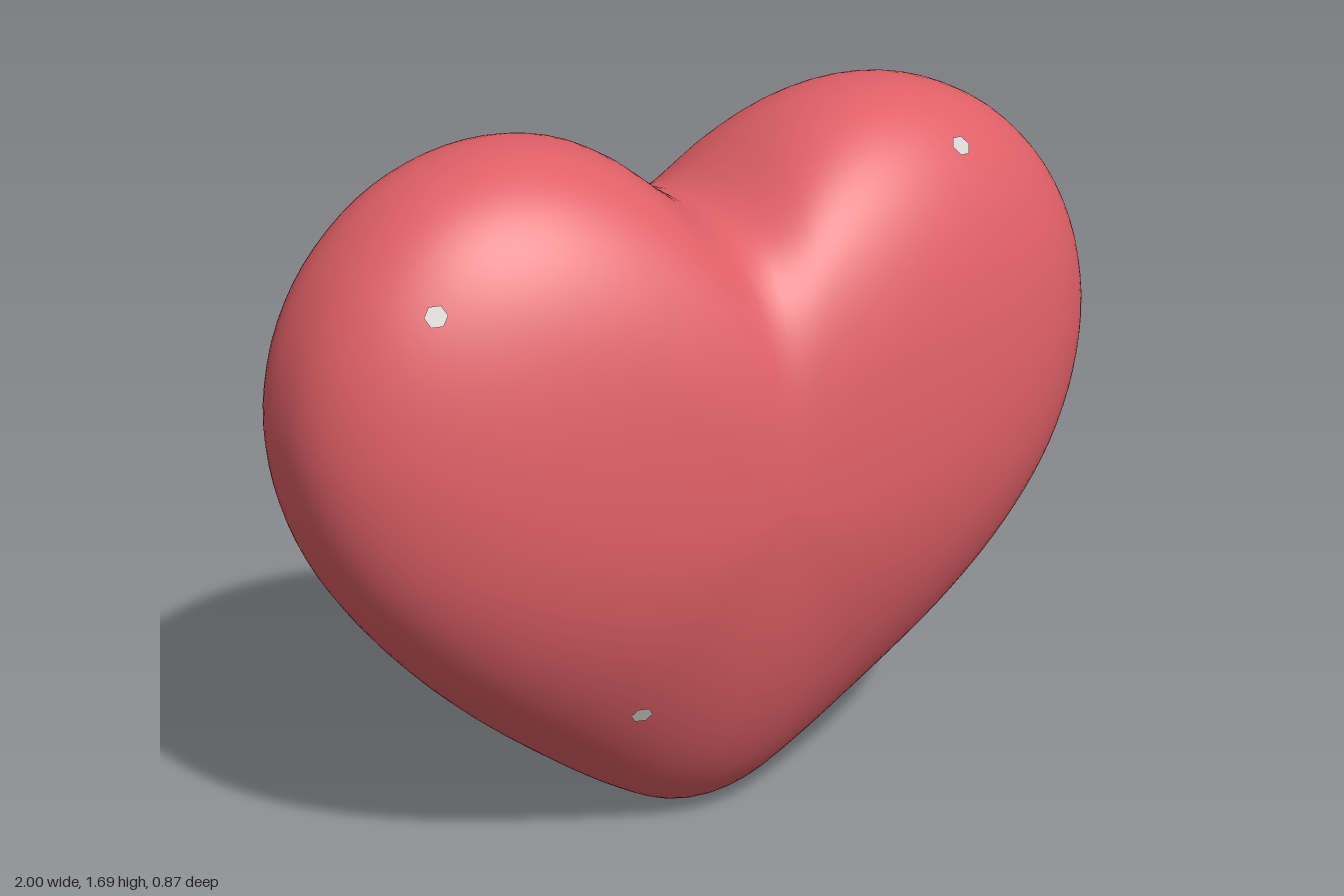
import * as THREE from 'three';

const DEPTH = 0.436, CENTRE_Y = 0.92, AROUND = 128, RINGS = 64;

// right half of the heart outline, from the notch down to the tip
const HALF = [
  [0, 1.485], [0.05, 1.5], [0.12, 1.55], [0.2, 1.613], [0.31, 1.667], [0.45, 1.69], [0.6, 1.67],
  [0.75, 1.6], [0.88, 1.475], [0.96, 1.33], [0.995, 1.18], [0.996, 1.06], [0.97, 0.92], [0.91, 0.77],
  [0.79, 0.59], [0.61, 0.395], [0.4, 0.215], [0.23, 0.09], [0.1, 0.018], [0, 0],
];

function outline() {
  const mirrored = HALF.slice(1, -1).reverse().map(([x, y]) => [-x, y]);
  const points = [...HALF, ...mirrored].map(([x, y]) => new THREE.Vector3(x, y - CENTRE_Y, 0));
  return new THREE.CatmullRomCurve3(points, true).getSpacedPoints(AROUND).slice(0, AROUND);
}

// Rings shrink from the outline towards a front and a back pole along rounded profiles
function heartGeometry() {
  const rim = outline();
  const positions = [0, CENTRE_Y, DEPTH];
  const index = [];
  for (let r = 1; r < RINGS; r++) {
    const a = (r / RINGS) * Math.PI;
    const c = Math.cos(a), s = Math.sin(a);
    for (const p of rim) {
      const dy = p.y / p.length();
      // fuller at the sides, more pointed at the tip
      const power = 2.5 - (dy < 0 ? 0.8 : 0.4) * dy * dy;
      const t = Math.pow(s, 2 / power);
      const z = Math.sign(c) * DEPTH * Math.pow(Math.abs(c), 2 / power);
      // the notch fades out towards the middle of each face
      const fill = p.y > 0 ? 0.14 * Math.exp(-((p.x / 0.22) ** 2)) * (1 - t * t) : 0;
      positions.push(p.x * t, CENTRE_Y + (p.y + fill) * t, Math.abs(c) < 1e-9 ? 0 : z);
    }
  }
  const last = positions.length / 3;
  positions.push(0, CENTRE_Y, -DEPTH);
  const at = (r, i) => 1 + r * AROUND + (i % AROUND);
  for (let i = 0; i < AROUND; i++) {
    index.push(0, at(0, i + 1), at(0, i));
    for (let r = 0; r < RINGS - 2; r++) {
      const a = at(r, i), b = at(r, i + 1), c = at(r + 1, i), d = at(r + 1, i + 1);
      index.push(a, b, c, b, d, c);
    }
    index.push(last, at(RINGS - 2, i), at(RINGS - 2, i + 1));
  }
  const geometry = new THREE.BufferGeometry();
  geometry.setAttribute('position', new THREE.Float32BufferAttribute(positions, 3));
  geometry.setIndex(index);
  geometry.computeVertexNormals();
  return geometry;
}

export function createModel() {
  const red = new THREE.MeshStandardMaterial({ color: 0xe06067 });
  red.name = 'heart red';
  const pale = new THREE.MeshStandardMaterial({ color: 0xd8d0d0 });
  pale.name = 'speck pale grey';

  const model = new THREE.Group();
  model.name = 'puffyHeart';
  const heart = new THREE.Mesh(heartGeometry(), red);
  heart.name = 'heartBody';
  model.add(heart);
  heart.updateMatrixWorld(true);

  // Small pale specks lying on the surface, repeated half a turn round on the back
  const ray = new THREE.Raycaster();
  const speckShape = new THREE.CircleGeometry(0.025, 6);
  for (const [x, y] of [[-0.745, 1.437], [0.555, 1.578], [-0.297, 0.423]]) {
    for (const side of [1, -1]) {
      ray.set(new THREE.Vector3(x * side, y, 2 * side), new THREE.Vector3(0, 0, -side));
      const hit = ray.intersectObject(heart)[0];
      if (!hit) continue;
      const normal = hit.face.normal;
      const speck = new THREE.Mesh(speckShape, pale);
      speck.name = side > 0 ? 'frontSpeck' : 'backSpeck';
      speck.position.copy(hit.point).addScaledVector(normal, 0.003);
      speck.quaternion.setFromUnitVectors(new THREE.Vector3(0, 0, 1), normal);
      model.add(speck);
    }
  }
  return model;
}
